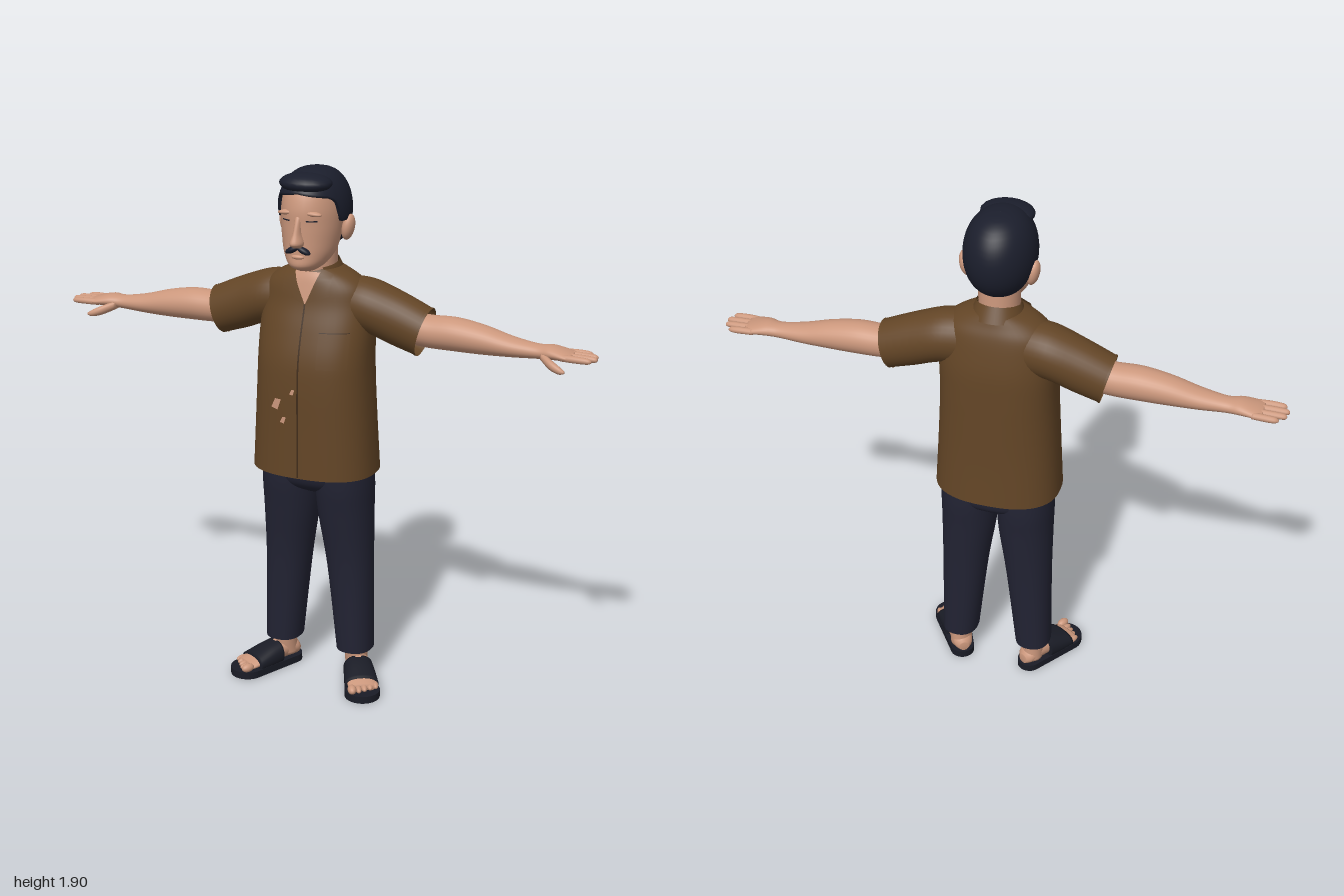
import * as THREE from 'three';

const mat = (name, color, side = THREE.FrontSide) => {
  const m = new THREE.MeshStandardMaterial({ color, side });
  m.name = name;
  return m;
};

// Catmull-Rom resampling of cross-sections [t, u, v, ru, rv, power, shear]
function resample(secs, k = 5) {
  const S = secs.map(s => [s[0], s[1], s[2], s[3], s[4], s[5] ?? 2, s[6] ?? 0]);
  const at = i => S[Math.min(Math.max(i, 0), S.length - 1)];
  const out = [];
  for (let i = 0; i < S.length - 1; i++) {
    for (let j = 0; j < k; j++) {
      const t = j / k;
      const [a, b, c, d] = [at(i - 1), at(i), at(i + 1), at(i + 2)];
      out.push(b.map((_, q) => 0.5 * (2 * b[q] + (c[q] - a[q]) * t
        + (2 * a[q] - 5 * b[q] + 4 * c[q] - d[q]) * t * t
        + (3 * b[q] - a[q] - 3 * c[q] + d[q]) * t * t * t)));
    }
  }
  out.push(S[S.length - 1]);
  return out;
}

// Turn rows of closed rings into a smooth mesh, optionally capped
function skin(rings, capped) {
  const n = rings[0].length, pos = rings.flat(2), idx = [];
  for (let i = 0; i < rings.length - 1; i++) for (let j = 0; j < n; j++) {
    const a = i * n + j, b = i * n + (j + 1) % n;
    idx.push(a, b, b + n, a, b + n, a + n);
  }
  if (capped) [0, rings.length - 1].forEach((r, e) => {
    const c = pos.length / 3;
    pos.push(...[0, 1, 2].map(q => rings[r].reduce((s, p) => s + p[q], 0) / n));
    for (let j = 0; j < n; j++) {
      const a = r * n + j, b = r * n + (j + 1) % n;
      idx.push(...(e ? [a, b, c] : [b, a, c]));
    }
  });
  const g = new THREE.BufferGeometry();
  g.setAttribute('position', new THREE.Float32BufferAttribute(pos, 3));
  g.setIndex(idx);
  g.computeVertexNormals();
  return g;
}

// Loft superellipse sections along an axis: x -> (u,v)=(y,z), y -> (z,x), z -> (x,y)
function loft(axis, secs, capped = true, n = 32) {
  const rings = resample(secs).map(([t, u, v, ru, rv, p, sh]) =>
    Array.from({ length: n }, (_, j) => {
      const a = j / n * Math.PI * 2, c = Math.cos(a), s = Math.sin(a);
      const U = u + ru * Math.sign(c) * Math.abs(c) ** (2 / p);
      const V = v + rv * Math.sign(s) * Math.abs(s) ** (2 / p);
      const T = t + sh * c;
      return axis === 'x' ? [T, U, V] : axis === 'y' ? [V, T, U] : [U, V, T];
    }));
  return skin(rings, capped);
}

// Front z of a vertical loft at (x, y)
function frontZ(secs, x, y) {
  const R = resample(secs);
  let i = 0;
  while (i < R.length - 2 && R[i + 1][0] < y) i++;
  const f = THREE.MathUtils.clamp((y - R[i][0]) / (R[i + 1][0] - R[i][0]), 0, 1);
  const [, u, , ru, rv, p] = R[i].map((q, k) => q + (R[i + 1][k] - q) * f);
  return u + ru * Math.max(0, 1 - Math.abs(x / rv) ** p) ** (1 / p);
}

// Thin patch following the front of a loft; four corners counter-clockwise
function decal(secs, [a, b, c, d], off, n = 8) {
  const g = new THREE.PlaneGeometry(1, 1, n, n), p = g.attributes.position;
  const L = THREE.MathUtils.lerp;
  for (let i = 0; i < p.count; i++) {
    const s = p.getX(i) + 0.5, t = p.getY(i) + 0.5;
    const x = L(L(a[0], b[0], s), L(d[0], c[0], s), t);
    const y = L(L(a[1], b[1], s), L(d[1], c[1], s), t);
    p.setXYZ(i, x, y, frontZ(secs, x, y) + off);
  }
  g.computeVertexNormals();
  return g;
}

const ball = (x, y, z, rx, ry, rz, roll = 0) =>
  new THREE.SphereGeometry(1, 20, 14).scale(rx, ry, rz).rotateZ(roll).translate(x, y, z);

function mirrored(geo) {
  const g = geo.clone().scale(-1, 1, 1);
  const idx = g.index ? Array.from(g.index.array) : Array.from({ length: g.attributes.position.count }, (_, i) => i);
  for (let i = 0; i < idx.length; i += 3) [idx[i], idx[i + 1]] = [idx[i + 1], idx[i]];
  g.setIndex(idx);
  return g;
}

// Hair shell: a rounded cap whose lower edge follows the hairline
function hairGeometry() {
  const line = [[0, 1.83], [50, 1.815], [64, 1.8], [74, 1.73], [86, 1.73], [95, 1.745], [112, 1.67], [135, 1.625], [181, 1.615]];
  const n = 72, rows = 18, rings = [];
  for (let i = rows + 1; i >= 0; i--) {
    rings.push(Array.from({ length: n }, (_, j) => {
      const a = j / n * Math.PI * 2;
      const deg = 180 - Math.abs(180 - a * 180 / Math.PI);
      const k = line.findIndex(q => q[0] > deg), [p, q] = [line[k - 1], line[k]];
      const yl = p[1] + (q[1] - p[1]) * (deg - p[0]) / (q[0] - p[0]);
      const phi = Math.max(0.001, Math.min(i, rows) / rows) * Math.acos((yl - 1.757) / 0.145);
      const r = Math.sin(phi) ** 0.75 * (i > rows ? 0.82 : 1), c = Math.cos(a);
      return [r * 0.123 * Math.sin(a), 1.757 + 0.145 * Math.cos(phi), -0.005 + r * (c > 0 ? 0.163 : 0.15) * c];
    }));
  }
  return skin(rings, false);
}

export function createModel() {
  const root = new THREE.Group();
  root.name = 'man';
  const D = THREE.DoubleSide;
  const skinM = mat('skin', 0xcb977c, D), shirtM = mat('shirt brown', 0x634526, D);
  const seamM = mat('seam brown', 0x3f2b19, D), pantsM = mat('trouser navy', 0x222333);
  const hairM = mat('hair black', 0x1b1e2c, D), shoeM = mat('sandal black', 0x1a1c26);
  const add = (name, geo, m) => {
    const mesh = new THREE.Mesh(geo, m);
    mesh.name = name;
    root.add(mesh);
  };
  const pair = (name, geo, m) => {
    add('left ' + name, geo, m);
    add('right ' + name, mirrored(geo), m);
  };

  // Shirt
  const torso = [
    [0.825, -0.018, 0, 0.168, 0.226, 2.5], [1.0, -0.015, 0, 0.164, 0.216, 2.5],
    [1.15, -0.014, 0, 0.162, 0.208, 2.5], [1.25, -0.017, 0, 0.157, 0.205, 2.5],
    [1.35, -0.028, 0, 0.142, 0.205, 2.4], [1.43, -0.035, 0, 0.122, 0.2, 2.3],
    [1.49, -0.034, 0, 0.108, 0.188, 2.2], [1.53, -0.03, 0, 0.095, 0.145, 2], [1.56, -0.03, 0, 0.083, 0.08, 2]];
  add('shirt body', loft('y', torso, false, 48), shirtM);
  pair('sleeve', loft('x', [
    [0.1, 1.43, -0.045, 0.095, 0.09], [0.19, 1.425, -0.048, 0.096, 0.098],
    [0.29, 1.39, -0.05, 0.093, 0.088, 2, 0.012], [0.39, 1.352, -0.05, 0.083, 0.081, 2, 0.022]], false), shirtM);
  pair('sleeve hem', loft('x', [
    [0.383, 1.354, -0.05, 0.0855, 0.0835, 2, 0.022], [0.39, 1.352, -0.05, 0.085, 0.083, 2, 0.022]], false), shirtM);
  add('placket line', decal(torso, [[-0.003, 0.83], [0.003, 0.83], [0.003, 1.44], [-0.003, 1.44]], 0.003, 24), seamM);
  add('pocket', decal(torso, [[0.065, 1.23], [0.165, 1.23], [0.165, 1.355], [0.065, 1.355]], 0.005), shirtM);
  add('pocket edge', decal(torso, [[0.065, 1.352], [0.165, 1.352], [0.165, 1.355], [0.065, 1.355]], 0.007), seamM);
  [[-0.083, 1.09, 0.02], [-0.055, 1.035, 0.012], [-0.02, 1.14, 0.01]].forEach(([x, y, r], i) =>
    add('worn hole ' + (i + 1), decal(torso, [[x - r, y - r * 0.7], [x + r * 0.3, y - r], [x + r, y + r], [x - r * 0.2, y + r]], 0.004, 3), skinM));

  // Open neckline and collar
  add('open neckline', decal(torso, [[0, 1.44], [0, 1.44], [0.055, 1.55], [-0.055, 1.55]], 0.004, 12), skinM);
  pair('collar flap', decal(torso, [[0.006, 1.445], [0.088, 1.475], [0.088, 1.545], [0.05, 1.56]], 0.011), shirtM);
  add('collar band', new THREE.CylinderGeometry(0.077, 0.097, 0.055, 40, 1, true, 0.65, Math.PI * 2 - 1.3)
    .rotateX(0.2).translate(0, 1.55, -0.025), shirtM);

  // Arms and hands
  pair('arm', loft('x', [
    [0.33, 1.365, -0.05, 0.056, 0.058], [0.41, 1.358, -0.05, 0.057, 0.06], [0.5, 1.358, -0.05, 0.058, 0.062],
    [0.6, 1.35, -0.05, 0.05, 0.056], [0.7, 1.338, -0.051, 0.035, 0.046], [0.79, 1.333, -0.052, 0.025, 0.036],
    [0.84, 1.336, -0.051, 0.024, 0.046], [0.89, 1.332, -0.05, 0.017, 0.053], [0.915, 1.33, -0.05, 0.011, 0.05]]), skinM);
  [[0.97, -0.094], [0.993, -0.066], [0.998, -0.037], [0.985, -0.008]].forEach(([tip, z], i) =>
    pair('finger ' + (i + 1), loft('x', [
      [0.88, 1.331, z * 0.9 - 0.005, 0.012, 0.013], [0.93, 1.331, z, 0.012, 0.0125],
      [tip - 0.012, 1.33, z, 0.01, 0.011], [tip, 1.329, z, 0.003, 0.004]], true, 12), skinM));
  pair('thumb', loft('x', [
    [0.81, 1.325, -0.03, 0.015, 0.02], [0.85, 1.309, 0.005, 0.017, 0.018],
    [0.885, 1.297, 0.021, 0.013, 0.013], [0.905, 1.293, 0.026, 0.004, 0.005]], true, 14), skinM);

  // Head and neck
  const head = [
    [1.562, 0.072, 0, 0.035, 0.03], [1.582, 0.062, 0, 0.082, 0.06], [1.62, 0.04, 0, 0.105, 0.085],
    [1.67, 0.027, 0, 0.117, 0.097], [1.72, 0.02, 0, 0.124, 0.103], [1.78, 0.008, 0, 0.135, 0.105],
    [1.84, 0, 0, 0.122, 0.094], [1.88, 0, 0, 0.07, 0.055]];
  add('head', loft('y', head), skinM);
  add('neck', loft('y', [[1.45, -0.03, 0, 0.08, 0.075], [1.53, -0.02, 0, 0.077, 0.07], [1.66, -0.015, 0, 0.075, 0.073]]), skinM);
  add('nose', loft('y', [
    [1.652, 0.142, 0, 0.022, 0.016], [1.667, 0.146, 0, 0.039, 0.023], [1.7, 0.14, 0, 0.029, 0.014],
    [1.745, 0.137, 0, 0.013, 0.011], [1.765, 0.132, 0, 0.006, 0.012]], true, 20), skinM);
  pair('ear', ball(0.116, 1.7, -0.018, 0.021, 0.046, 0.03, -0.2), skinM);
  pair('brow ridge', ball(0.046, 1.765, 0.124, 0.034, 0.009, 0.015, -0.08), skinM);
  pair('eye line', decal(head, [[0.03, 1.738], [0.064, 1.738], [0.064, 1.742], [0.03, 1.743]], 0.003, 4), hairM);
  pair('moustache half', ball(0.02, 1.642, 0.141, 0.028, 0.011, 0.015, -0.45), hairM);
  add('lower lip', ball(0, 1.618, 0.142, 0.024, 0.008, 0.01), skinM);
  add('hair', hairGeometry(), hairM);
  add('front hair sweep', ball(0, 1.858, 0.075, 0.093, 0.035, 0.073), hairM);

  // Trousers
  add('trouser seat', loft('y', [
    [0.735, -0.035, 0, 0.06, 0.09, 2.2], [0.765, -0.035, 0, 0.108, 0.17, 2.4],
    [0.81, -0.032, 0, 0.125, 0.202, 2.5], [0.9, -0.025, 0, 0.125, 0.195, 2.5]]), pantsM);
  pair('trouser leg', loft('y', [
    [0.13, -0.048, 0.142, 0.076, 0.066, 2.3], [0.15, -0.048, 0.141, 0.077, 0.067, 2.3],
    [0.45, -0.046, 0.122, 0.088, 0.083, 2.2], [0.65, -0.039, 0.107, 0.107, 0.098, 2.2],
    [0.76, -0.035, 0.104, 0.12, 0.102, 2.2], [0.84, -0.032, 0.103, 0.122, 0.1, 2.2]]), pantsM);

  // Feet and sandals, built pointing forward from the heel then turned outward
  const place = g => g.rotateY(0.52).translate(0.135, 0, -0.072);
  pair('ankle', loft('y', [[0.04, -0.06, 0.142, 0.045, 0.04], [0.1, -0.052, 0.144, 0.048, 0.041], [0.2, -0.048, 0.142, 0.05, 0.045]]), skinM);
  pair('foot', place(loft('z', [
    [-0.036, 0, 0.045, 0.018, 0.018], [-0.015, 0, 0.054, 0.036, 0.032], [0.04, 0, 0.062, 0.041, 0.042],
    [0.1, 0, 0.054, 0.046, 0.033], [0.17, 0, 0.042, 0.053, 0.02], [0.205, 0, 0.036, 0.05, 0.013]])), skinM);
  for (let i = 0; i < 5; i++) {
    const r = i === 0 ? 0.016 : 0.0115;
    pair('toe ' + (i + 1), place(ball(-0.038 + i * 0.0215 - (i ? 0 : 0.003), 0.025 + r, 0.222 - i * 0.009, r, r, 0.025)), skinM);
  }
  const sole = new THREE.Shape();
  sole.absarc(0, 0, 0.045, Math.PI, Math.PI * 2);
  sole.absarc(0, 0.193, 0.064, 0, Math.PI);
  pair('sandal sole', place(new THREE.ExtrudeGeometry(sole, { depth: 0.027, bevelEnabled: false, curveSegments: 20 })
    .rotateX(Math.PI / 2).translate(0, 0.027, 0)), shoeM);
  pair('sandal strap', place(loft('z', [
    [0.065, 0, 0.052, 0.054, 0.046, 2.3], [0.11, 0, 0.045, 0.058, 0.043, 2.3], [0.175, 0, 0.036, 0.062, 0.031, 2.3]])), shoeM);
  return root;
}
